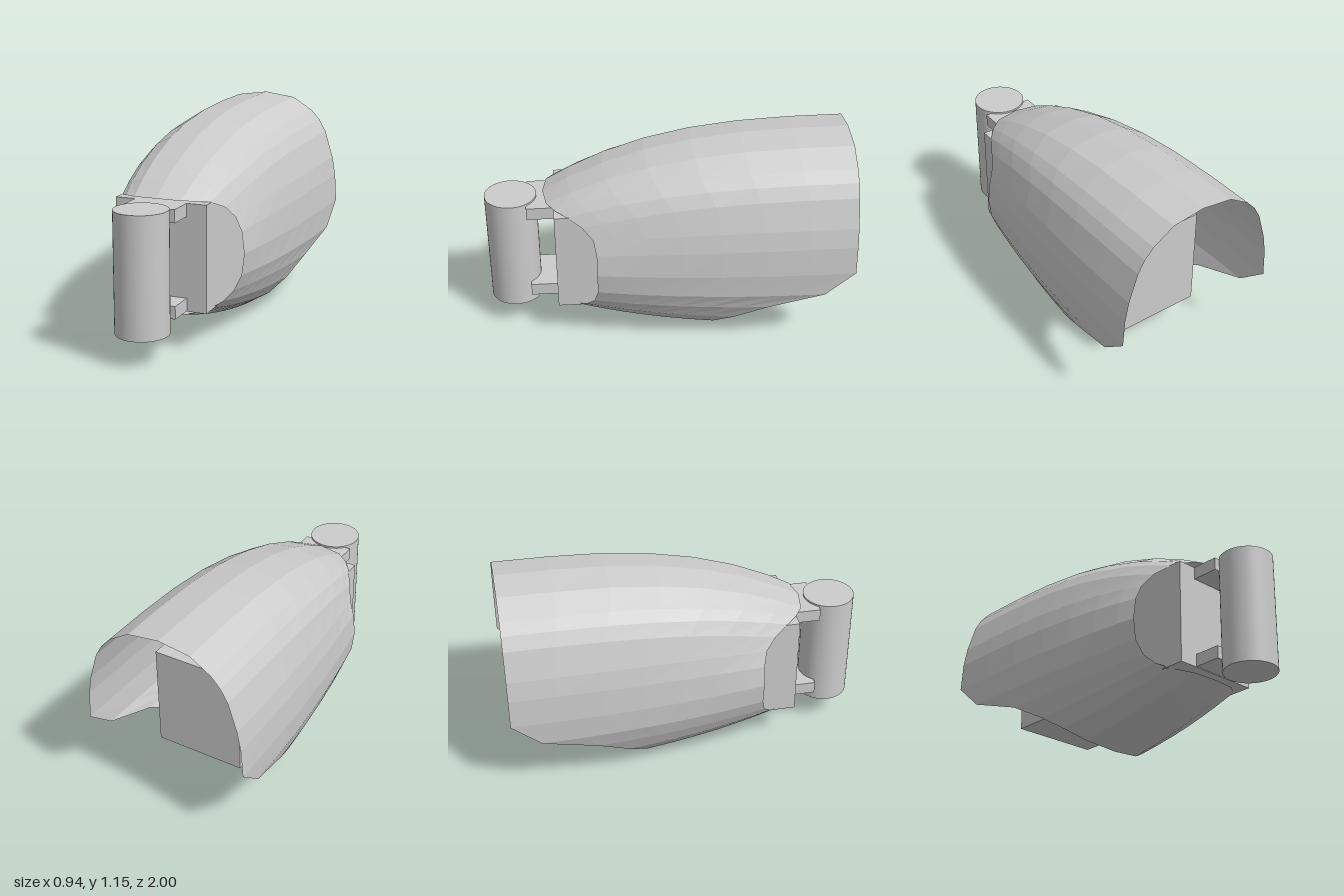
import * as THREE from 'three';

// Half of the shell, from top centre to bottom centre:
// front rim x, y, z, then the x, y that the skin swells out to at the back
const RIBS = [
  [0, 0.825, 0.68, 0, 1.155], [0.13, 0.82, 0.66, 0.18, 1.13],
  [0.20, 0.812, 0.61, 0.30, 1.055], [0.25, 0.80, 0.55, 0.35, 1.0],
  [0.30, 0.76, 0.47, 0.39, 0.93], [0.335, 0.70, 0.415, 0.44, 0.77],
  [0.365, 0.62, 0.40, 0.46, 0.66], [0.38, 0.50, 0.40, 0.47, 0.50],
  [0.365, 0.38, 0.40, 0.462, 0.36], [0.33, 0.30, 0.42, 0.43, 0.26],
  [0.29, 0.25, 0.465, 0.38, 0.15], [0.24, 0.22, 0.52, 0.31, 0.06],
  [0.14, 0.197, 0.60, 0.20, -0.01], [0, 0.19, 0.62, 0, -0.045],
];

// Rear trim line in side profile: y, z
const TRIM = [[0, -0.15], [0.1, -0.26], [0.2, -0.41], [0.3, -0.61],
  [0.345, -0.78], [0.37, -0.88], [0.42, -0.97], [0.5, -1]];

function trimZ(y) {
  if (y <= TRIM[0][0]) return TRIM[0][1];
  for (let i = 1; i < TRIM.length; i++) {
    const [y0, z0] = TRIM[i - 1], [y1, z1] = TRIM[i];
    if (y <= y1) return z0 + (z1 - z0) * (y - y0) / (y1 - y0);
  }
  return -1;
}

// Point on a rib; u = 0 at the front rim, 1 at z = -1
function ribPoint([fx, fy, fz, sx, sy], u) {
  const k = 2.4 + 0.6 * THREE.MathUtils.smoothstep(fy, 0.5, 0.8);
  const g = 1 - Math.pow(1 - u, k);
  return [fx + (sx - fx) * g, fy + (sy - fy) * g, fz + (-1 - fz) * u];
}

// Where a rib meets the rear trim line
function ribEnd(rib) {
  let lo = 0, hi = 1;
  for (let i = 0; i < 30; i++) {
    const mid = (lo + hi) / 2;
    const [, y, z] = ribPoint(rib, mid);
    if (z >= trimZ(y)) lo = mid; else hi = mid;
  }
  return hi;
}

function shellGeometry(rows) {
  const mirrored = RIBS.slice(1, -1).reverse().map(([fx, fy, fz, sx, sy]) => [-fx, fy, fz, -sx, sy]);
  const ribs = [...RIBS, ...mirrored];
  const ends = ribs.map(ribEnd);
  const n = ribs.length, pos = [], index = [];
  for (let r = 0; r <= rows; r++) {
    const t = Math.pow(r / rows, 1.3);
    ribs.forEach((rib, j) => pos.push(...ribPoint(rib, t * ends[j])));
  }
  for (let r = 0; r < rows; r++) {
    for (let j = 0; j < n; j++) {
      const a = r * n + j, b = r * n + (j + 1) % n;
      index.push(a, b, a + n, b, b + n, a + n);
    }
  }
  const geo = new THREE.BufferGeometry();
  geo.setAttribute('position', new THREE.Float32BufferAttribute(pos, 3));
  geo.setIndex(index);
  geo.computeVertexNormals();
  return geo;
}

export function createModel() {
  const model = new THREE.Group();
  const grey = new THREE.MeshStandardMaterial({ color: 0xcccccc });
  const skin = new THREE.MeshStandardMaterial({ color: 0xcccccc, flatShading: true, side: THREE.DoubleSide });

  const add = (name, geo, y, z, material = grey) => {
    const mesh = new THREE.Mesh(geo, material);
    mesh.name = name;
    mesh.position.set(0, y, z);
    model.add(mesh);
  };

  // Thin open cowling
  add('shell', shellGeometry(7), 0, 0, skin);
  // Block inside the shell
  add('coreBlock', new THREE.BoxGeometry(0.51, 0.58, 1.3), 0.51, -0.03);
  // Two tabs joining the block to the upright cylinder
  add('upperTab', new THREE.BoxGeometry(0.29, 0.07, 0.17), 0.765, 0.685);
  add('lowerTab', new THREE.BoxGeometry(0.29, 0.07, 0.17), 0.258, 0.685);
  add('hingeCylinder', new THREE.CylinderGeometry(0.143, 0.143, 0.65, 48), 0.485, 0.857);

  return model;
}
